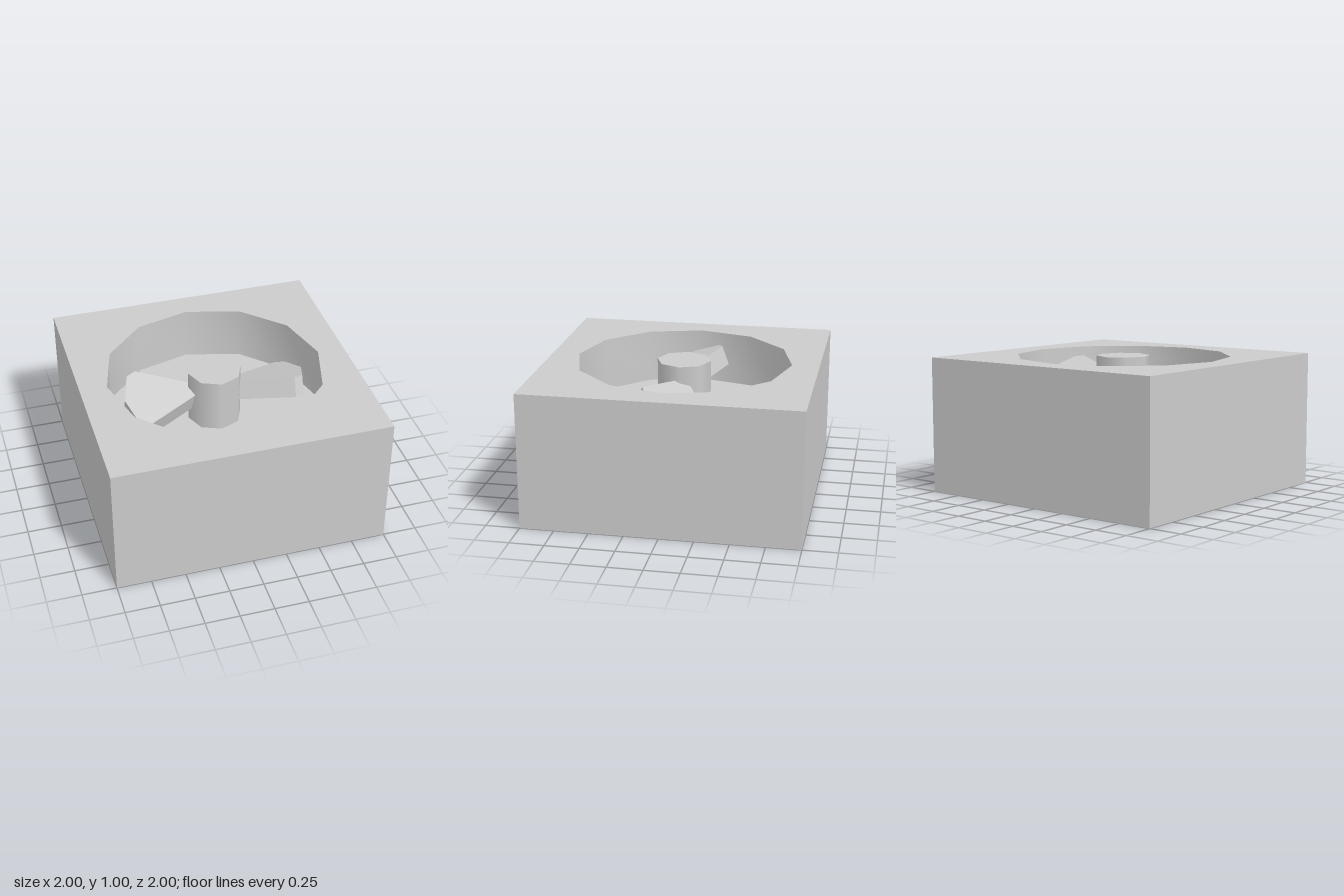
import * as THREE from 'three';
import { toCreasedNormals } from 'three/addons/utils/BufferGeometryUtils.js';

const FLOOR = 0.6, TOP = 1, HOLE_R = 0.8, HUB_R = 0.2;
const material = new THREE.MeshStandardMaterial({ color: 0xcccccc });

function addMesh(parent, name, geometry) {
  const mesh = new THREE.Mesh(geometry, material);
  mesh.name = name;
  parent.add(mesh);
  return mesh;
}

// Extrudes a plan-view shape upwards from y = 0
function extrudeUp(shape, height) {
  const geo = new THREE.ExtrudeGeometry(shape, { depth: height, bevelEnabled: false });
  return geo.rotateX(-Math.PI / 2);
}

function polygonPoints(radius, sides) {
  return Array.from({ length: sides }, (_, i) => {
    const a = (i / sides) * Math.PI * 2;
    return new THREE.Vector2(radius * Math.cos(a), radius * Math.sin(a));
  });
}

export function createModel() {
  const model = new THREE.Group();
  model.name = 'boxFan';

  // Solid lower half; its top is the floor of the recess
  addMesh(model, 'base', new THREE.BoxGeometry(2, FLOOR, 2)).position.y = FLOOR / 2;

  // Square upper frame with a twelve-sided opening
  const square = new THREE.Shape([[-1, -1], [1, -1], [1, 1], [-1, 1]].map(p => new THREE.Vector2(...p)));
  square.holes.push(new THREE.Path([...polygonPoints(HOLE_R, 12)].reverse()));
  const frame = toCreasedNormals(extrudeUp(square, TOP - FLOOR), 0.6);
  addMesh(model, 'frame', frame).position.y = FLOOR;

  // Eight-sided hub, flush with the frame
  const hub = new THREE.CylinderGeometry(HUB_R, HUB_R, TOP - FLOOR, 8);
  addMesh(model, 'hub', hub).position.y = (TOP + FLOOR) / 2;

  // Two pitched blades, opposite each other
  const half = [[0.1, 0.024], [0.55, 0.24], [0.62, 0.207]];
  const outline = [
    ...half.map(([x, w]) => [x, -w]),
    [0.68, 0],
    ...half.map(([x, w]) => [x, w]).reverse(),
  ].map(p => new THREE.Vector2(...p));
  const bladeGeo = extrudeUp(new THREE.Shape(outline), 0.15)
    .translate(0, -0.075, 0)
    .rotateX(-THREE.MathUtils.degToRad(20));
  for (let i = 0; i < 2; i++) {
    const blade = addMesh(model, 'blade', bladeGeo);
    blade.position.y = 0.8;
    blade.rotation.y = i * Math.PI;
  }

  return model;
}
